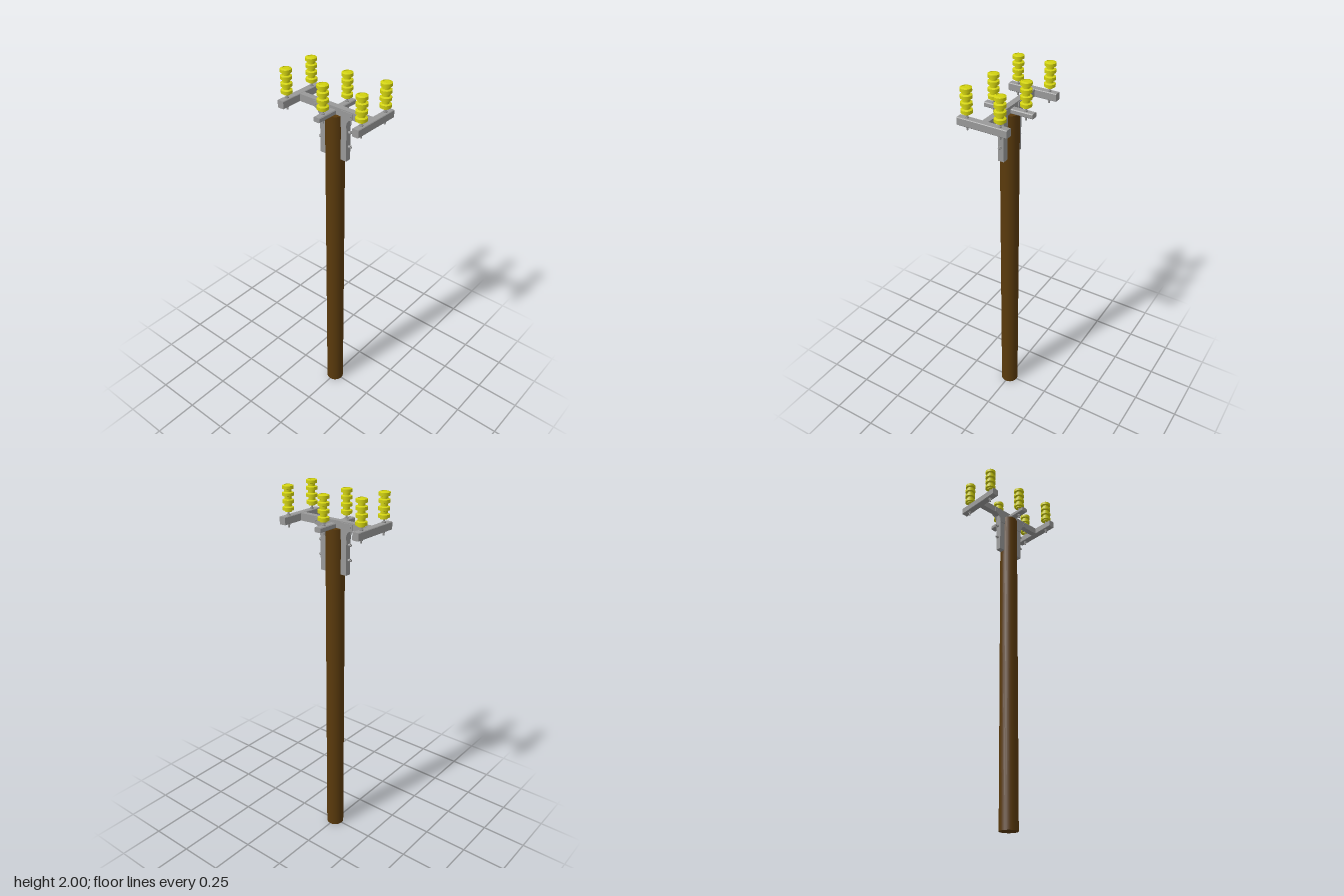
import * as THREE from 'three';

const wood = new THREE.MeshStandardMaterial({ color: 0x5a3a0c });
const steel = new THREE.MeshStandardMaterial({ color: 0x999999, flatShading: true });
const glaze = new THREE.MeshStandardMaterial({ color: 0xd2d20f });

function add(parent, name, geometry, material, x = 0, y = 0, z = 0) {
  const mesh = new THREE.Mesh(geometry, material);
  mesh.name = name;
  mesh.position.set(x, y, z);
  parent.add(mesh);
  return mesh;
}

// Bar along z with chamfered long edges, base at y = 0
function chamferedBar(w, h, length, c) {
  const s = new THREE.Shape([
    [-w / 2 + c, 0], [w / 2 - c, 0], [w / 2, c], [w / 2, h - c],
    [w / 2 - c, h], [-w / 2 + c, h], [-w / 2, h - c], [-w / 2, c],
  ].map(([x, y]) => new THREE.Vector2(x, y)));
  return new THREE.ExtrudeGeometry(s, { depth: length, bevelEnabled: false }).translate(0, 0, -length / 2);
}

// Stacked-shed insulator profile, each corner doubled for crisp edges
function insulatorGeometry() {
  const core = 0.018, shed = 0.0287, bottom = 0.02, pitch = 0.0355, thick = 0.0225;
  const corners = [[0, bottom], [core, bottom]];
  for (let i = 0; i < 4; i++) {
    const y = bottom + 0.005 + i * pitch - (i === 3 ? 0.0015 : 0);
    corners.push([core, y], [shed, y + 0.003], [shed, y + thick - 0.004], [core, y + thick]);
  }
  corners.push([core, 0.15], [0, 0.15]);
  const pts = [];
  corners.forEach(([r, y], i) => {
    pts.push(new THREE.Vector2(r, y));
    if (i > 0 && i < corners.length - 1) pts.push(new THREE.Vector2(r, y + 1e-5));
  });
  return new THREE.LatheGeometry(pts, 24);
}

function makeInsulator(geometry, x, y, z, armHeight) {
  const g = new THREE.Group();
  g.name = 'insulator';
  add(g, 'insulatorBody', geometry, glaze);
  add(g, 'insulatorPin', new THREE.CylinderGeometry(0.005, 0.005, armHeight + 0.04, 10), steel, 0, -armHeight / 2, 0);
  add(g, 'upperNut', new THREE.CylinderGeometry(0.01, 0.01, 0.007, 6), steel, 0, 0.0035, 0);
  add(g, 'lowerNut', new THREE.CylinderGeometry(0.009, 0.009, 0.007, 6), steel, 0, -armHeight - 0.0035, 0);
  g.position.set(x, y, z);
  return g;
}

// Bolt with hexagonal ends, lying along the chosen axis
function addBolt(parent, axis, length, x, y, z) {
  const bolt = new THREE.Group();
  bolt.name = 'bolt';
  add(bolt, 'boltShank', new THREE.CylinderGeometry(0.0045, 0.0045, length, 10), steel);
  for (const s of [-1, 1])
    add(bolt, 'boltNut', new THREE.CylinderGeometry(0.009, 0.009, 0.008, 6), steel, 0, s * (length / 2 - 0.01), 0);
  if (axis === 'x') bolt.rotation.z = Math.PI / 2;
  else bolt.rotation.x = Math.PI / 2;
  bolt.position.set(x, y, z);
  parent.add(bolt);
}

export function createModel() {
  const model = new THREE.Group();
  model.name = 'utilityPole';

  add(model, 'pole', new THREE.CylinderGeometry(0.049, 0.049, 1.81, 32), wood, 0, 0.905, 0);

  // Main beam and three cross arms
  add(model, 'mainBeam', new THREE.BoxGeometry(0.43, 0.038, 0.032), steel, 0, 1.831, 0);
  const sideArm = chamferedBar(0.037, 0.04, 0.27, 0.003);
  for (const s of [-1, 1]) add(model, 'sideArm', sideArm, steel, s * 0.228, 1.811, 0);
  add(model, 'centreArm', chamferedBar(0.037, 0.025, 0.27, 0.004), steel, 0, 1.811, 0);

  // Insulators, in pairs on every arm
  const body = insulatorGeometry();
  for (const x of [-0.227, 0, 0.227])
    for (const z of [-0.0895, 0.0895])
      model.add(makeInsulator(body, x, x ? 1.85 : 1.835, z, x ? 0.04 : 0.025));

  // Side brackets: strap on the pole and flared plates clasping the beam
  for (const s of [-1, 1]) {
    const bracket = new THREE.Group();
    bracket.name = 'bracket';
    add(bracket, 'strap', new THREE.BoxGeometry(0.034, 0.235, 0.032), steel, s * 0.065, 1.6975, 0);
    const outline = [[0.048, 1.76], [0.082, 1.76], [0.085, 1.785], [0.095, 1.803], [0.12, 1.815],
      [0.12, 1.845], [0.05, 1.845]].map(([x, y]) => new THREE.Vector2(s * x, y));
    const plate = new THREE.ExtrudeGeometry(new THREE.Shape(outline), { depth: 0.004, bevelEnabled: false });
    for (const z of [0.016, -0.02]) add(bracket, 'flaredPlate', plate, steel, 0, 0, z);
    addBolt(bracket, 'z', 0.053, s * 0.109, 1.83, 0);
    model.add(bracket);
  }

  // Through bolts clamping the straps to the pole
  for (const y of [1.735, 1.658]) addBolt(model, 'x', 0.205, 0, y, 0);

  return model;
}
